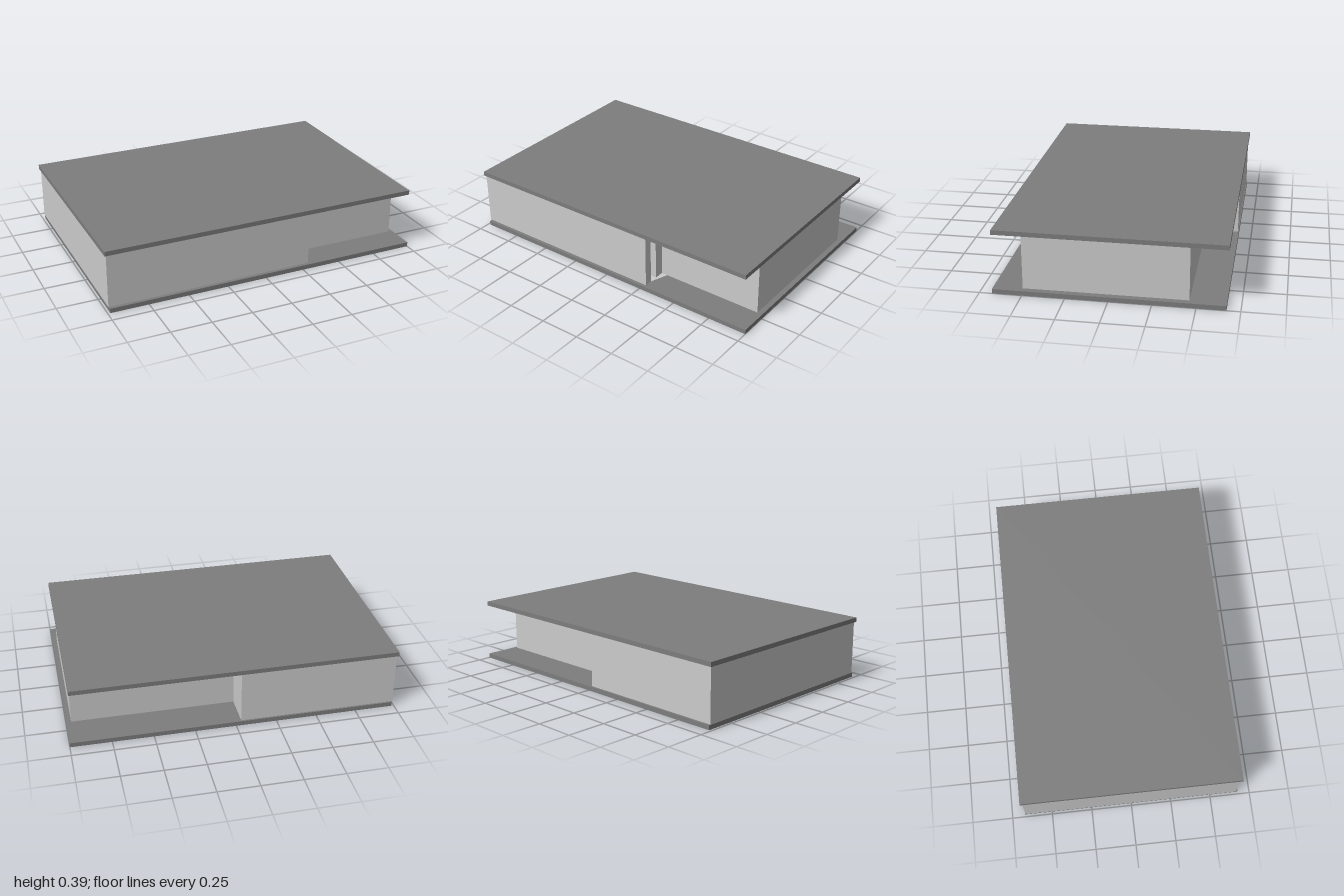
import * as THREE from 'three';

const wallMat = new THREE.MeshStandardMaterial({ color: 0xcccccc, side: THREE.DoubleSide });
const slabMat = new THREE.MeshStandardMaterial({ color: 0x7d7d7d });

// Plan points are [x, z]; the plan is laid flat and rises along +y.
function planShape(points) {
  return new THREE.Shape(points.map(([x, z]) => new THREE.Vector2(x, -z)));
}

function addPlan(group, name, geometry, y) {
  geometry.rotateX(-Math.PI / 2);
  const mesh = new THREE.Mesh(geometry, wallMat);
  mesh.name = name;
  mesh.position.y = y;
  group.add(mesh);
}

function addSlab(group, name, x, y, z) {
  const mesh = new THREE.Mesh(new THREE.BoxGeometry(1.985, 0.028, 1.345), slabMat);
  mesh.name = name;
  mesh.position.set(x, y, z);
  group.add(mesh);
}

export function createModel() {
  const group = new THREE.Group();
  group.name = 'flatRoofBuilding';
  const bottom = 0.032, top = 0.358;

  // Floor and roof slabs, slightly offset from each other
  addSlab(group, 'floorSlab', 0.0075, 0.014, 0.0025);
  addSlab(group, 'roofSlab', -0.0075, 0.376, -0.0025);

  // Outer wall line shared by the walls, floor and ceiling
  const backRun = [[-0.99, 0.66], [-0.99, -0.665], [-0.03, -0.665]];
  const rightRun = [[0.97, -0.46], [0.97, 0.5]];

  // Perimeter walls as one strip, open at a narrow doorway in the front step
  const walls = planShape([
    [0.29, 0.61], [0.29, 0.66], ...backRun, [-0.03, -0.46], ...rightRun,
    [0.29, 0.5], [0.29, 0.56],
    [0.24, 0.56], [0.24, 0.45], [0.92, 0.45], [0.92, -0.41],
    [-0.08, -0.41], [-0.08, -0.615], [-0.94, -0.615], [-0.94, 0.61],
  ]);
  addPlan(group, 'perimeterWalls',
    new THREE.ExtrudeGeometry(walls, { depth: top - bottom, bevelEnabled: false }), bottom);

  // Floor, with a small threshold wedge by the doorway
  addPlan(group, 'interiorFloor', new THREE.ShapeGeometry(planShape([
    [0.29, 0.66], ...backRun, [-0.03, -0.46], ...rightRun, [0.33, 0.5], [0.29, 0.61],
  ])), bottom);

  // Ceiling, with a small wedge filling the rear inner corner
  addPlan(group, 'interiorCeiling', new THREE.ShapeGeometry(planShape([
    [0.29, 0.66], ...backRun, [0.08, -0.46], ...rightRun, [0.29, 0.5],
  ])), top);

  return group;
}
